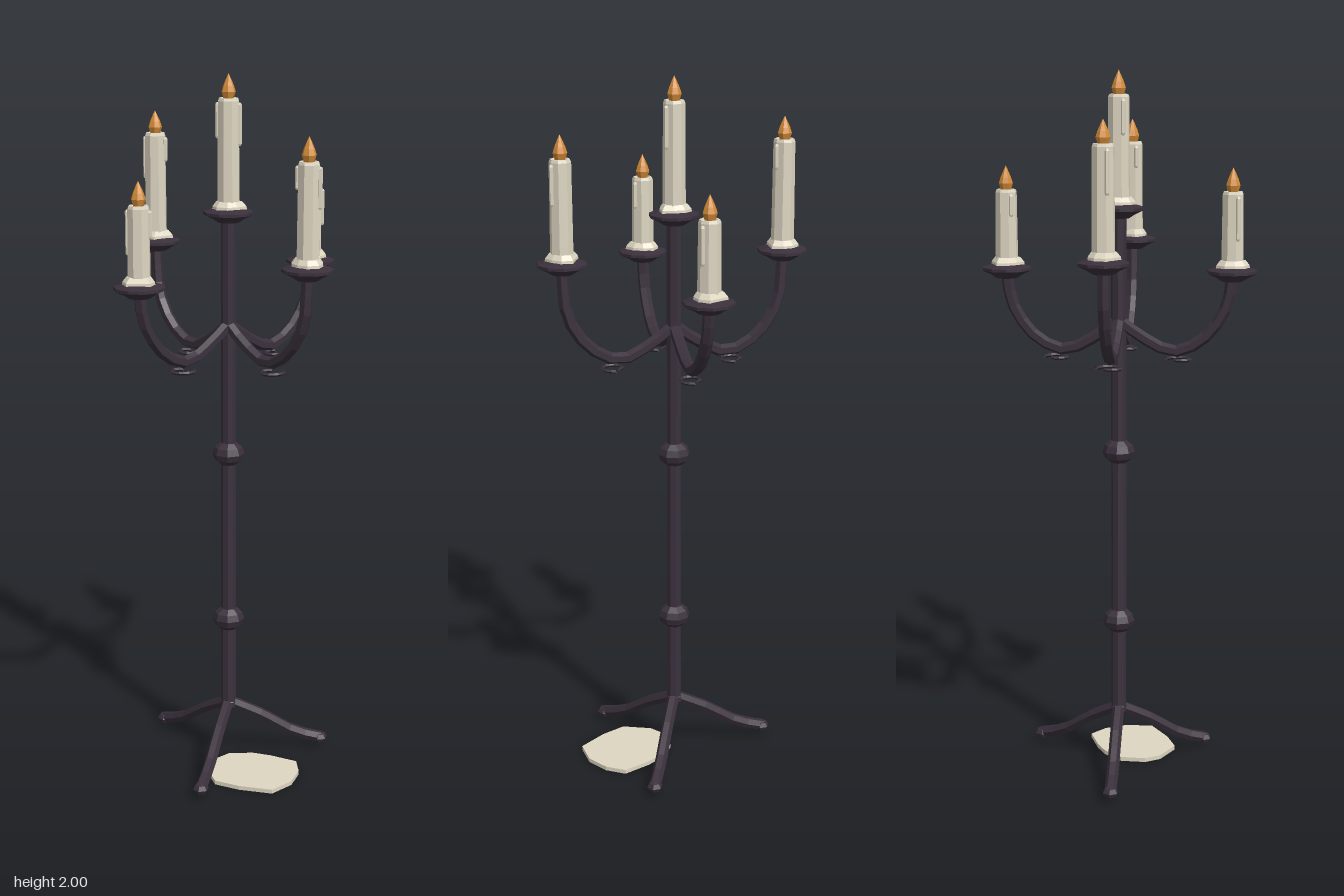
import * as THREE from 'three';

export function createModel() {
  const paint = (name, color) => {
    const m = new THREE.MeshStandardMaterial({ color, flatShading: true, side: THREE.DoubleSide });
    m.name = name;
    return m;
  };
  const iron = paint('dark iron', 0x3a303c);
  const wax = paint('cream wax', 0xded6c2);
  const fire = paint('amber flame', 0xd58c38);

  const root = new THREE.Group();
  root.name = 'candelabrum';
  const stand = new THREE.Group();
  stand.name = 'stand';
  stand.position.set(-0.003, 0, -0.011);
  root.add(stand);

  const add = (parent, name, geo, mat, x = 0, y = 0, z = 0) => {
    const m = new THREE.Mesh(geo, mat);
    m.name = name;
    m.position.set(x, y, z);
    parent.add(m);
    return m;
  };
  const lathe = (pts, sides, start = 0) =>
    new THREE.LatheGeometry(pts.map(([r, y]) => new THREE.Vector2(r, y)), sides, start);
  const tube = (pts, segs, r, sides = 6) => new THREE.TubeGeometry(
    new THREE.CatmullRomCurve3(pts.map(p => new THREE.Vector3(...p))), segs, r, sides);

  // Pole with two knobs
  add(stand, 'pole', new THREE.CylinderGeometry(0.021, 0.022, 1.45, 8), iron, 0, 0.89, 0);
  for (const y of [0.44, 0.94]) {
    add(stand, 'knob', new THREE.SphereGeometry(0.046, 8, 6), iron, 0, y, 0).scale.y = 0.8;
  }
  add(stand, 'legHub', new THREE.SphereGeometry(0.025, 8, 5), iron, 0, 0.17, 0);

  // Three splayed legs with small feet
  for (const deg of [-17, 102.5, 222.5]) {
    const leg = new THREE.Group();
    leg.name = 'leg';
    leg.rotation.y = -THREE.MathUtils.degToRad(deg);
    stand.add(leg);
    add(leg, 'legBar', tube([[0, 0.178, 0], [0.1, 0.125, 0], [0.2, 0.06, 0], [0.283, 0.03, 0]], 6, 0.017), iron);
    add(leg, 'foot', new THREE.SphereGeometry(0.023, 6, 4), iron, 0.282, 0.029, 0).scale.y = 0.75;
  }

  // Drip pan, wax, candle and flame, stacked on a pan rim at height y
  const makeCandle = (x, z, y, height, flameH, seed) => {
    const g = new THREE.Group();
    g.name = 'candleHolder';
    g.position.set(x, y, z);
    stand.add(g);
    add(g, 'dripPan', lathe([[0, -0.026], [0.03, -0.026], [0.045, -0.016], [0.07, -0.004], [0.07, 0.004],
      [0.045, 0.012], [0, 0.013]], 10, Math.PI / 2), iron);

    // Irregular wax pooled around the candle
    const pool = lathe([[0.045, 0.011], [0.044, 0.019], [0.034, 0.032], [0, 0.034]], 9);
    const p = pool.attributes.position;
    for (let i = 0; i < p.count; i++) {
      const a = Math.atan2(p.getZ(i), p.getX(i));
      const s = 1 + 0.1 * Math.sin(3 * a + seed * 2) + 0.06 * Math.sin(5 * a + seed);
      p.setX(i, p.getX(i) * s);
      p.setZ(i, p.getZ(i) * s);
    }
    add(g, 'waxPool', pool, wax);

    const top = 0.02 + height;
    add(g, 'candle', lathe([[0.032, 0.012], [0.03, top - 0.008], [0.027, top], [0.021, top],
      [0.017, top - 0.006], [0, top - 0.006]], 8, Math.PI / 8), wax);

    // Runs of wax down two sides
    for (const side of [-1, 1]) {
      const len = 0.05 + 0.03 * (1 + Math.sin(seed * 3 + side));
      const a = 0.22 + 0.1 * Math.sin(seed);
      add(g, 'waxDrip', new THREE.CapsuleGeometry(0.0065, len, 2, 6), wax,
        side * 0.031 * Math.cos(a), top - 0.018 - len / 2, side * 0.031 * Math.sin(a));
    }
    add(g, 'flame', lathe([[0, -0.008], [0.014, -0.003], [0.02, flameH * 0.25], [0.015, flameH * 0.5],
      [0.007, flameH * 0.78], [0, flameH]], 7), fire, 0, top, 0);
  };
  makeCandle(0, 0, 1.625, 0.29, 0.065, 0.4);

  // Flat scroll hung beneath each arm
  const scroll = [];
  for (let i = 0; i <= 9; i++) {
    const a = -0.65 + i * 0.62, r = 0.04 - i * 0.0024;
    scroll.push([r * Math.cos(a), 0, r * Math.sin(a)]);
  }

  // Four arms: [x sign, z sign, pan height, candle height, flame height]
  const arms = [
    [-1, -1, 1.508, 0.29, 0.062], [1, 1, 1.508, 0.265, 0.065],
    [-1, 1, 1.455, 0.2, 0.065], [1, -1, 1.455, 0.2, 0.065],
  ];
  arms.forEach(([sx, sz, y, height, flameH], i) => {
    const path = [[0, 1.315], [0.05, 1.265], [0.11, 1.23], [0.17, 1.27], [0.213, 1.36], [0.2225, y - 0.015]];
    add(stand, 'arm', tube(path.map(([d, h]) => [sx * d, h, sz * d]), 10, 0.017), iron);
    add(stand, 'scroll', tube(scroll, 12, 0.005, 4), iron, sx * 0.122, 1.207, sz * 0.122);
    makeCandle(sx * 0.2225, sz * 0.2225, y, height, flameH, i + 1);
  });

  // Spilled wax on the floor
  const outline = [[0.0, 0.0], [0.07, -0.007], [0.123, 0.007], [0.2, 0.041], [0.209, 0.102], [0.19, 0.17],
    [0.136, 0.227], [0.04, 0.209], [-0.03, 0.18], [-0.06, 0.1], [-0.05, 0.05]];
  const spill = new THREE.ExtrudeGeometry(new THREE.Shape(outline.map(([x, z]) => new THREE.Vector2(x, -z))),
    { depth: 0.012, bevelEnabled: false });
  spill.rotateX(-Math.PI / 2);
  add(root, 'floorWax', spill, wax);

  return root;
}
